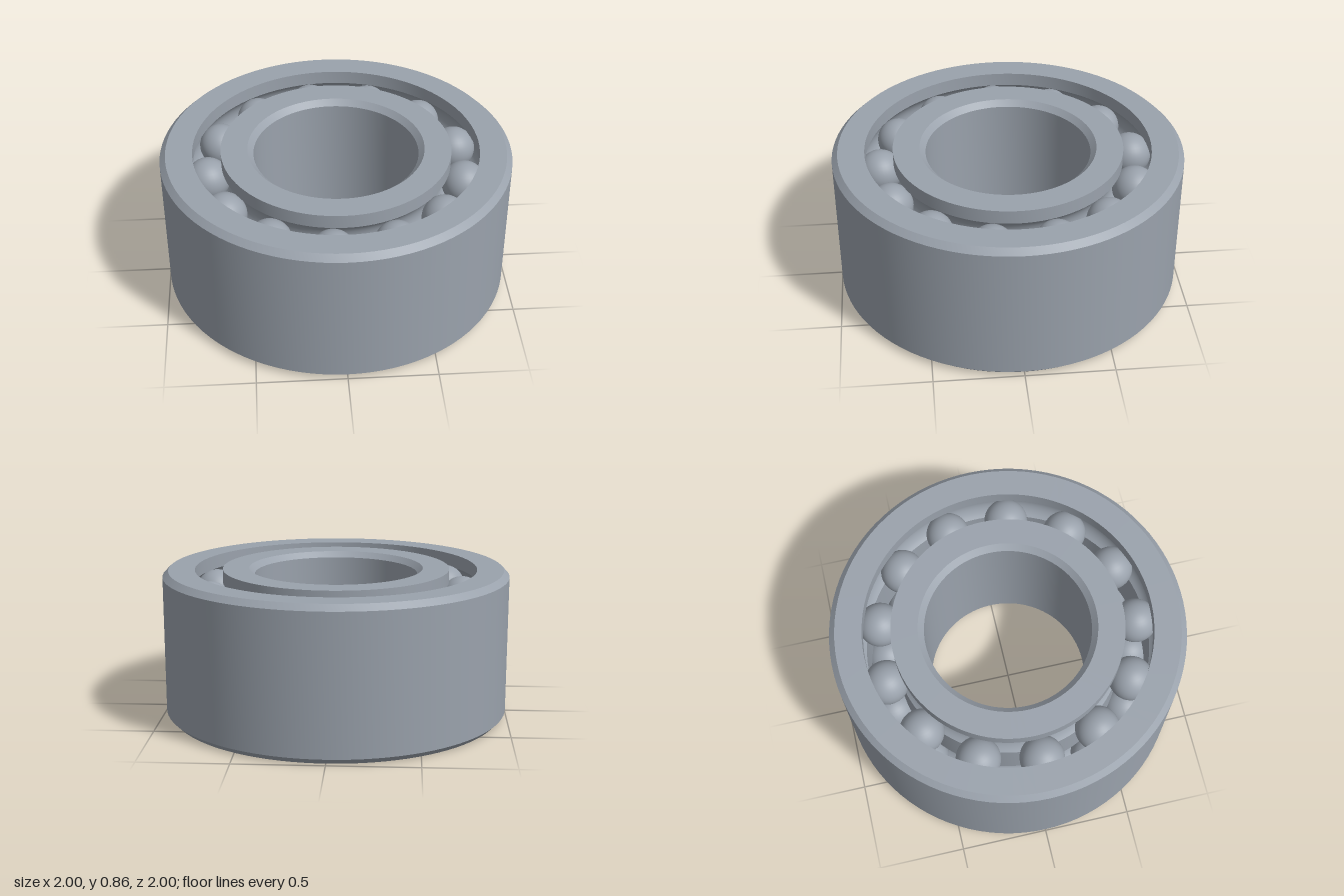
import * as THREE from 'three';
import { toCreasedNormals } from 'three/addons/utils/BufferGeometryUtils.js';

const HEIGHT = 0.855, CHAMFER = 0.033;
const ROWS = [0.18, HEIGHT - 0.18];      // heights of the two ball rows
const PITCH = 0.735, BALL = 0.126, COUNT = 13;
const GROOVE = 0.128;                    // raceway radius, slightly over the ball

// Raceway wall from bottom to top with a round groove per row; side +1 cuts outward, -1 inward
function racewayWall(radius, side) {
  const half = Math.acos(Math.abs(radius - PITCH) / GROOVE);
  const points = [[radius, 0]];
  for (const y of ROWS) {
    for (let i = 0; i <= 12; i++) {
      const a = -half + (2 * half * i) / 12;
      points.push([PITCH + side * GROOVE * Math.cos(a), y + GROOVE * Math.sin(a)]);
    }
  }
  points.push([radius, HEIGHT]);
  return points;
}

function ring(name, profile, material) {
  const points = [...profile, profile[0]].map(([r, y]) => new THREE.Vector2(r, y));
  const geometry = toCreasedNormals(new THREE.LatheGeometry(points, 96), 0.5);
  const mesh = new THREE.Mesh(geometry, material);
  mesh.name = name;
  return mesh;
}

export function createModel() {
  const group = new THREE.Group();
  group.name = 'ballBearing';
  const steel = new THREE.MeshStandardMaterial({ color: 0x9aa2ac });
  steel.name = 'steel';

  // Outer ring: chamfered outside, grooved inside
  group.add(ring('outerRing', [
    [1 - CHAMFER, 0], [1, CHAMFER], [1, HEIGHT - CHAMFER], [1 - CHAMFER, HEIGHT],
    ...racewayWall(0.815, 1).reverse(),
  ], steel));

  // Inner ring: grooved outside, chamfered bore
  const bore = 0.47;
  group.add(ring('innerRing', [
    ...racewayWall(0.655, -1),
    [bore + CHAMFER, HEIGHT], [bore, HEIGHT - CHAMFER], [bore, CHAMFER], [bore + CHAMFER, 0],
  ], steel));

  // Two rows of balls
  const ballGeometry = new THREE.SphereGeometry(BALL, 32, 20);
  ROWS.forEach((y, row) => {
    const balls = new THREE.Group();
    balls.name = row ? 'upperBallRow' : 'lowerBallRow';
    for (let i = 0; i < COUNT; i++) {
      const a = THREE.MathUtils.degToRad(11.9) + (i * 2 * Math.PI) / COUNT;
      const ball = new THREE.Mesh(ballGeometry, steel);
      ball.name = 'ball';
      ball.position.set(PITCH * Math.cos(a), y, PITCH * Math.sin(a));
      balls.add(ball);
    }
    group.add(balls);
  });
  return group;
}
